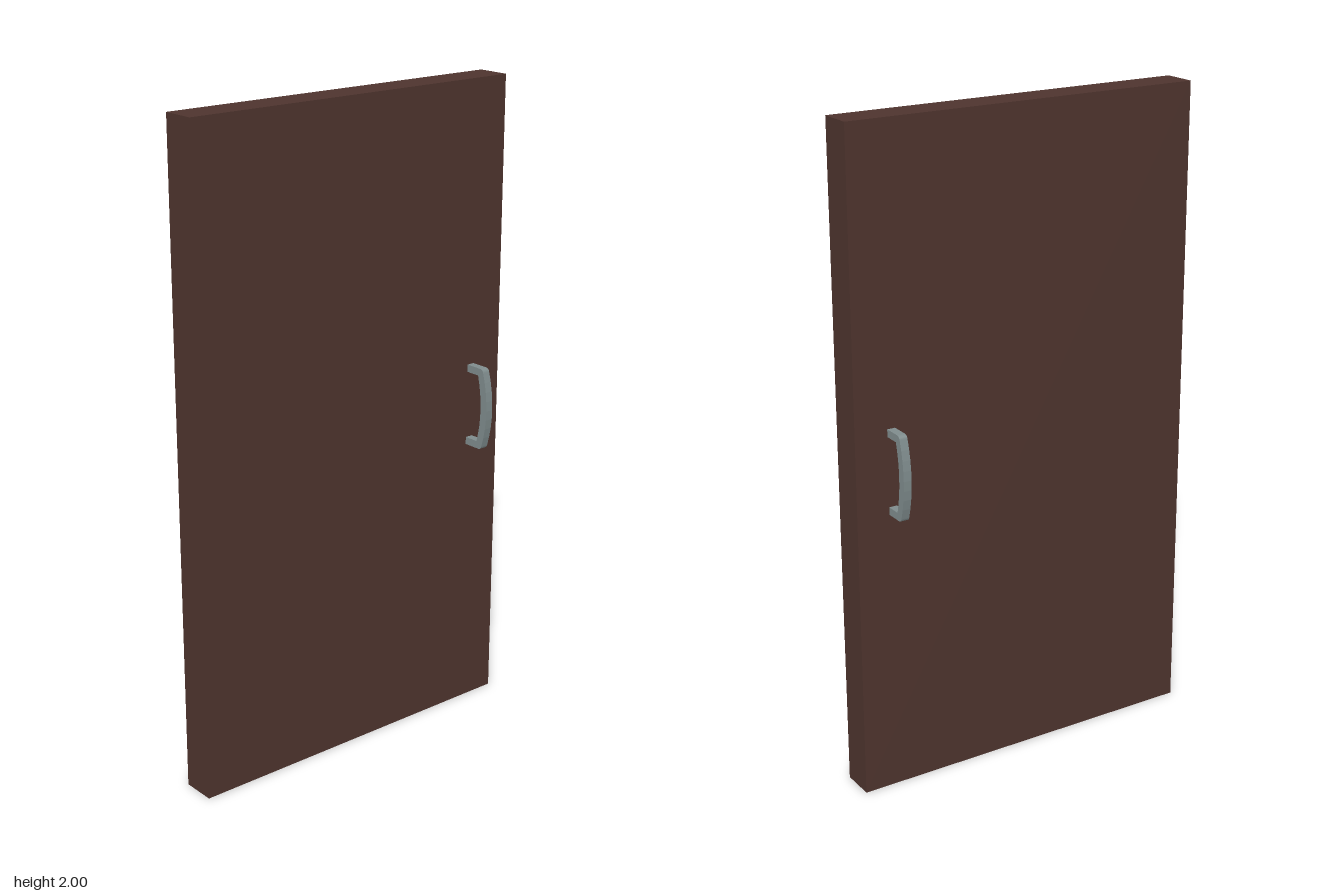
import * as THREE from 'three';

export function createModel() {
  const model = new THREE.Group();
  model.name = 'door';
  const wood = new THREE.MeshStandardMaterial({ color: 0x4e342e });
  wood.name = 'dark brown wood';
  const metal = new THREE.MeshStandardMaterial({ color: 0x7f8c8d });
  metal.name = 'grey metal';

  // Door slab
  const slab = new THREE.Mesh(new THREE.BoxGeometry(1.13, 2, 0.105), wood);
  slab.name = 'doorSlab';
  slab.position.y = 1;
  model.add(slab);

  // Side profile of the pull handle: x is the distance from the door's middle
  const profile = new THREE.Shape();
  profile.moveTo(0.05, -0.129);
  profile.lineTo(0.108, -0.129);
  profile.quadraticCurveTo(0.119, -0.129, 0.122, -0.118);
  profile.quadraticCurveTo(0.158, 0, 0.122, 0.118);
  profile.quadraticCurveTo(0.119, 0.129, 0.108, 0.129);
  profile.lineTo(0.05, 0.129);
  profile.lineTo(0.05, 0.106);
  profile.lineTo(0.1, 0.106);
  profile.quadraticCurveTo(0.129, 0, 0.1, -0.106);
  profile.lineTo(0.05, -0.106);
  profile.closePath();

  const width = 0.025;
  const handleGeometry = new THREE.ExtrudeGeometry(profile, {
    depth: width, bevelEnabled: false, curveSegments: 8,
  });
  handleGeometry.translate(0, 0, -width / 2);
  handleGeometry.rotateY(-Math.PI / 2);

  // One handle on each face
  [['frontHandle', 0], ['backHandle', Math.PI]].forEach(([name, turn]) => {
    const handle = new THREE.Mesh(handleGeometry, metal);
    handle.name = name;
    handle.position.set(0.45, 1.002, 0);
    handle.rotation.y = turn;
    model.add(handle);
  });
  return model;
}
